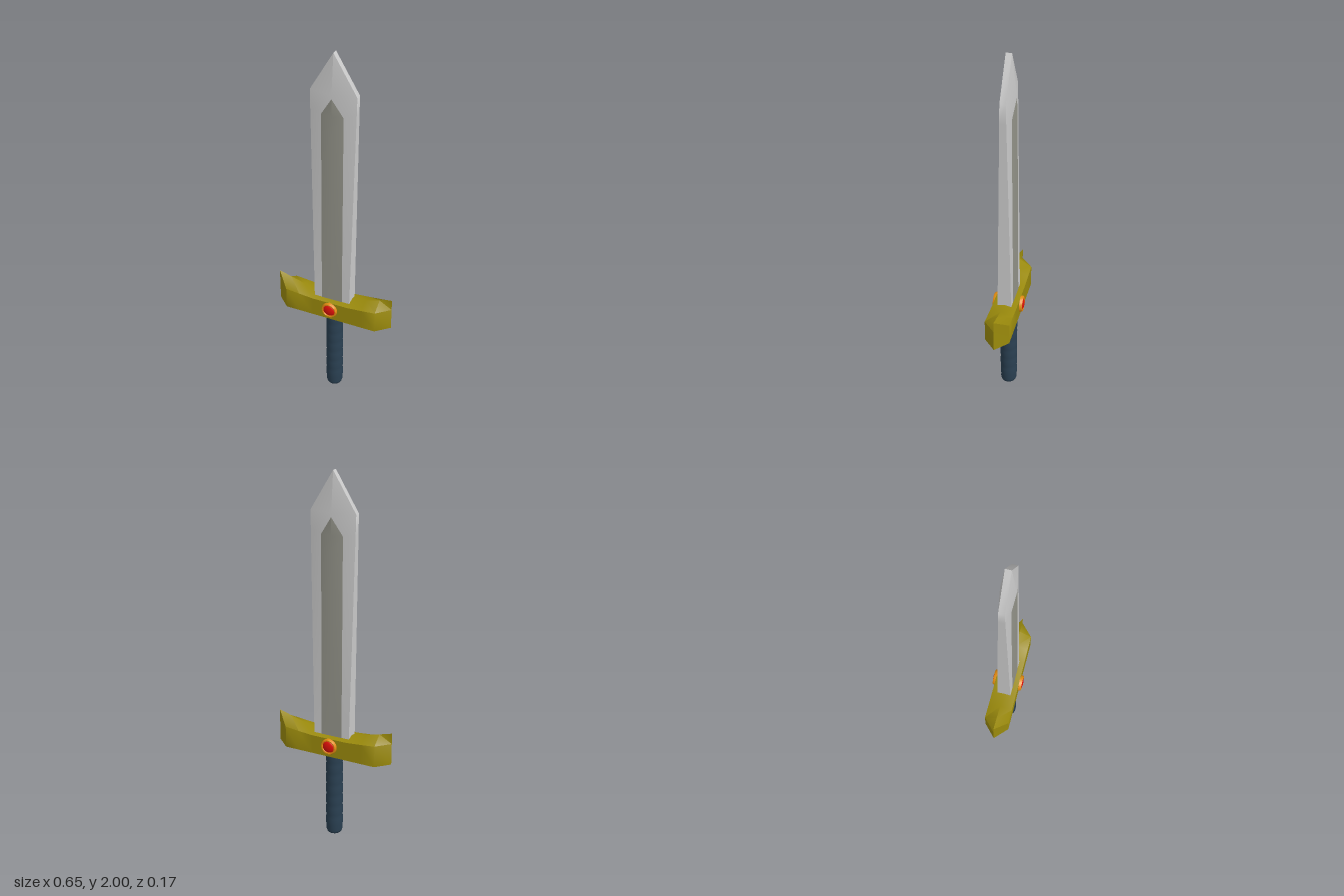
import * as THREE from 'three';
import { toCreasedNormals } from 'three/addons/utils/BufferGeometryUtils.js';

const material = (color) => new THREE.MeshStandardMaterial({ color });
const steel = material(0xcccccc);
const darkSteel = material(0x94948a);
const gold = material(0x9a8a0c);
const orange = material(0xe08a10);
const red = material(0xdd1108);
const leather = material(0x2a4052);

const lerp = THREE.MathUtils.lerp;

// Skin a surface over rows of points (columns x rows faces outward)
function skin(rows) {
  const cols = rows[0].length;
  const index = [];
  for (let i = 0; i < rows.length - 1; i++) {
    for (let j = 0; j < cols - 1; j++) {
      const a = i * cols + j, b = a + cols;
      index.push(a, a + 1, b + 1, a, b + 1, b);
    }
  }
  const geometry = new THREE.BufferGeometry();
  geometry.setAttribute('position', new THREE.Float32BufferAttribute(rows.flat(2), 3));
  geometry.setIndex(index);
  geometry.computeVertexNormals();
  return geometry;
}

function add(parent, name, geometry, mat) {
  const mesh = new THREE.Mesh(geometry, mat);
  mesh.name = name;
  parent.add(mesh);
  return mesh;
}

// Blade section at height y: half width, edge half depth, centre half depth
const BASE = 0.6, SHOULDER = 1.8, TIP = 2;
function bladeSection(y) {
  if (y <= SHOULDER) {
    const t = (y - BASE) / (SHOULDER - BASE);
    return { w: lerp(0.1, 0.121, t), edge: lerp(0.037, 0.015, t), mid: 0.037 };
  }
  const t = (y - SHOULDER) / (TIP - SHOULDER);
  return { w: lerp(0.121, 0, t), edge: 0.015, mid: lerp(0.037, 0.015, t) };
}

function createBlade() {
  const blade = new THREE.Group();
  blade.name = 'blade';
  const heights = Array.from({ length: 13 }, (_, i) => BASE + i * 0.1).concat(TIP);

  const face = skin(heights.map((y) => {
    const { w, edge, mid } = bladeSection(y);
    return [[-w, y, edge], [0, y, mid], [w, y, edge]];
  }));
  const rim = skin(heights.map((y) => {
    const { w, edge } = bladeSection(y);
    return [[w, y, edge], [w, y, -edge]];
  }));
  // Dark inlay follows the blade face and ends in a point
  const panel = skin([...heights.filter((y) => y < 1.65), 1.69, 1.78].map((y) => {
    const { w, edge, mid } = bladeSection(y);
    const x = y > 1.7 ? 0 : 0.058;
    const z = lerp(mid, edge, x / w) + 0.001;
    return [[-x, y, z], [0, y, mid + 0.001], [x, y, z]];
  }));

  for (const turn of [0, Math.PI]) {
    add(blade, 'bladeFace', face, steel).rotation.y = turn;
    add(blade, 'bladeEdge', rim, steel).rotation.y = turn;
    add(blade, 'bladeInlay', panel, darkSteel).rotation.y = turn;
  }
  return blade;
}

// Crossguard: house-shaped section, rising to pointed ends
function createGuard() {
  const half = [ // x, half depth, ridge height, shoulder height
    [0.1, 0.065, 0.62, 0.605],
    [0.18, 0.065, 0.637, 0.612],
    [0.257, 0.065, 0.66, 0.62],
    [0.326, 0, 0.68, 0.62],
  ];
  const stations = [...half.map(([x, ...rest]) => [-x, ...rest]).reverse(), ...half];
  const geometry = skin(stations.map(([x, d, ridge, side]) => [
    [x, ridge, 0], [x, side, d], [x, 0.5, d],
    [x, 0.5, -d], [x, side, -d], [x, ridge, 0],
  ]));
  return toCreasedNormals(geometry, Math.PI / 3);
}

// Grip: shallow wrapped bands with a rounded butt
function createGrip() {
  const points = [[0, 0], [0.026, 0.002], [0.039, 0.01], [0.044, 0.025]];
  const bands = 7, start = 0.05, step = 0.065;
  for (let i = 0; i < bands; i++) {
    const y = start + i * step;
    points.push([0.043, y], [0.046, y + 0.012], [0.046, y + step - 0.012]);
  }
  points.push([0.043, 0.52]);
  return new THREE.LatheGeometry(points.map(([x, y]) => new THREE.Vector2(x, y)), 24);
}

// Round jewel in a bevelled setting, facing +z
function createJewel() {
  const jewel = new THREE.Group();
  jewel.name = 'jewel';
  const profile = [[0.044, 0], [0.044, 0.072], [0.04, 0.08], [0.034, 0.08], [0.031, 0.072], [0, 0.072]];
  const setting = new THREE.LatheGeometry(profile.map(([x, y]) => new THREE.Vector2(x, y)), 24);
  add(jewel, 'jewelSetting', toCreasedNormals(setting.rotateX(Math.PI / 2), 0.8), orange);
  const gem = add(jewel, 'gem', new THREE.SphereGeometry(0.034, 24, 16), red);
  gem.scale.z = 0.4;
  gem.position.z = 0.071;
  jewel.position.y = 0.562;
  return jewel;
}

export function createModel() {
  const sword = new THREE.Group();
  sword.name = 'sword';
  sword.add(createBlade());
  add(sword, 'guard', createGuard(), gold);
  add(sword, 'grip', createGrip(), leather);
  for (const turn of [0, Math.PI]) {
    const jewel = createJewel();
    jewel.rotation.y = turn;
    sword.add(jewel);
  }
  return sword;
}
